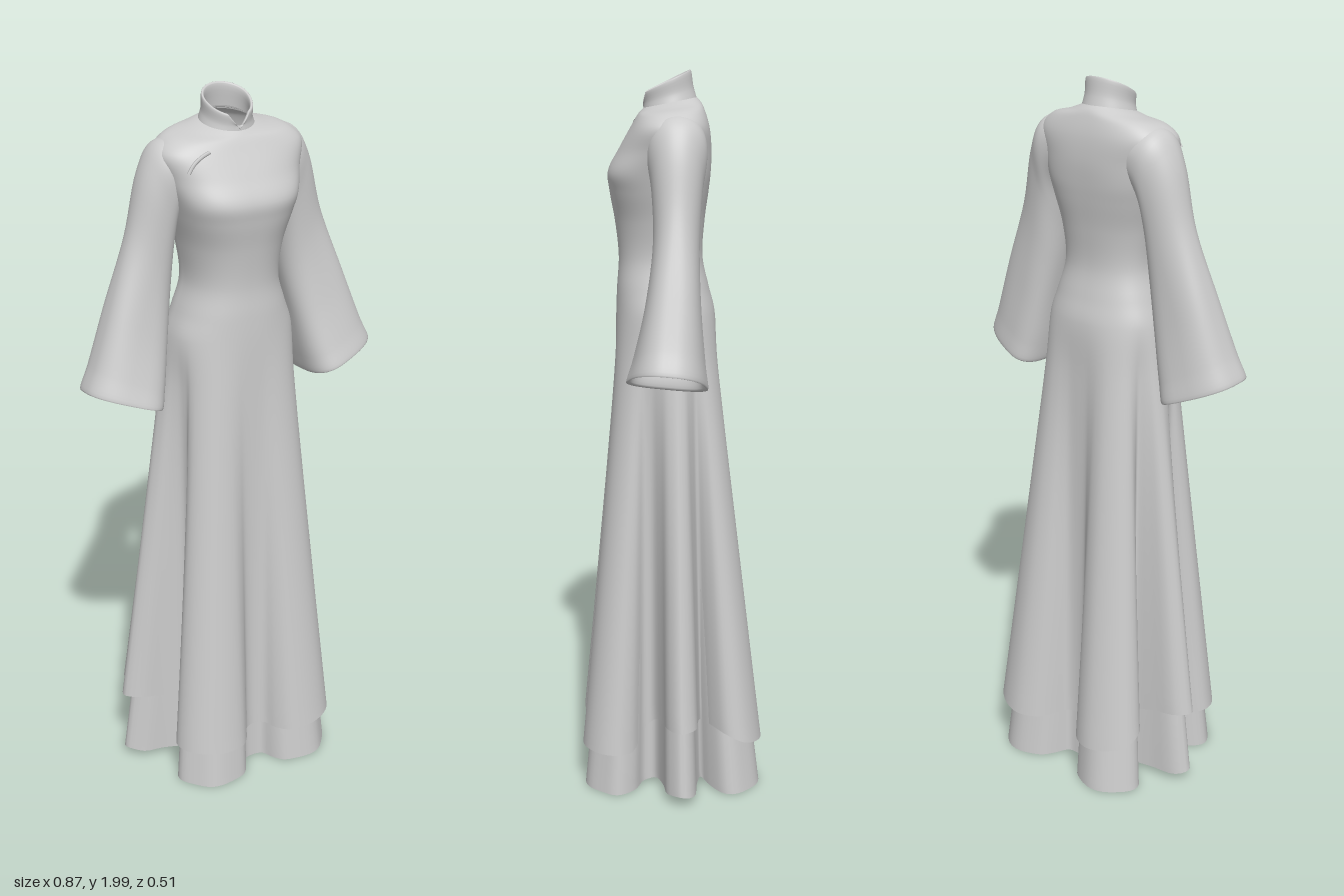
import * as THREE from 'three';

const V = (x, y, z) => new THREE.Vector3(x, y, z);
const N = 176; // points around each ring
const mat = new THREE.MeshStandardMaterial({ color: 0xcccccc, side: THREE.DoubleSide });
const lerp = THREE.MathUtils.lerp;
const power = (v, p) => Math.sign(v) * Math.abs(v) ** (2 / p);

// Skin a stack of rings (top to bottom), smoothing each column with a spline
function loft(name, rings, rows) {
  const n = rings[0].length, pos = [], idx = [];
  const cols = rings[0].map((_, i) => new THREE.CatmullRomCurve3(rings.map(r => r[i])));
  for (let r = 0; r <= rows; r++) {
    for (let i = 0; i < n; i++) pos.push(...cols[i].getPoint(r / rows).toArray());
  }
  for (let r = 0; r < rows; r++) {
    for (let i = 0; i < n; i++) {
      const j = (i + 1) % n, a = r * n, b = a + n;
      idx.push(a + i, b + i, b + j, a + i, b + j, a + j);
    }
  }
  const g = new THREE.BufferGeometry();
  g.setAttribute('position', new THREE.Float32BufferAttribute(pos, 3));
  g.setIndex(idx);
  g.computeVertexNormals();
  const m = new THREE.Mesh(g, mat);
  m.name = name;
  return m;
}

// Rounded body section with separate front and back depth, starting at the front centre
function section(y, hx, zf, zb, p = 2.3, tilt = 0) {
  return Array.from({ length: N }, (_, i) => {
    const a = i / N * Math.PI * 2, c = Math.cos(a);
    const z = Math.abs(power(c, p)) * (c > 0 ? zf : zb);
    return V(power(Math.sin(a), p) * hx, y - tilt * z, z);
  });
}

// Half a hem line mirrored into a closed wavy ring
function hemRing(half) {
  const pts = half.map(p => V(...p));
  const other = pts.slice(1, -1).reverse().map(p => V(-p.x, p.y, p.z));
  const curve = new THREE.CatmullRomCurve3([...pts, ...other], true);
  return Array.from({ length: N }, (_, i) => curve.getPoint(i / N));
}

const blend = (a, b, t) => a.map((p, i) => p.clone().lerp(b[i], t));

// Hem from front centre, around the left side, to back centre
const HEM = [
  [0, .125, .165], [.03, .125, .176], [.05, .122, .212], [.08, .122, .242], [.14, .125, .252],
  [.2, .13, .235], [.24, .13, .195], [.25, .13, .15], [.225, .13, .11], [.165, .17, .08],
  [.165, .2, .05], [.23, .22, .026], [.3, .23, .015], [.337, .23, -.02], [.31, .23, -.06],
  [.23, .22, -.072], [.165, .2, -.085], [.21, .2, -.112], [.252, .19, -.15], [.25, .165, -.2],
  [.205, .15, -.24], [.14, .142, -.256], [.08, .142, -.232], [.052, .145, -.19], [.032, .15, -.153],
  [0, .15, -.145],
];

function gown() {
  const hip = section(1.35, .178, .148, -.124);
  const hem = hemRing(HEM);
  const rings = [
    section(1.915, .069, .068, -.07, 2, .2),
    section(1.902, .11, .079, -.084, 2.1, .15),
    section(1.885, .175, .088, -.094, 2.5, .08),
    section(1.85, .208, .104, -.106, 2.7),
    section(1.79, .195, .138, -.112, 2.6),
    section(1.73, .176, .168, -.11, 2.8),
    section(1.68, .163, .164, -.105, 2.6),
    section(1.6, .143, .15, -.095),
    section(1.5, .132, .14, -.09),
    section(1.42, .155, .145, -.107),
    hip,
    ...[.12, .3, .5, .75, 1].map(t => blend(hip, hem, t)),
  ];
  return loft('gown', rings, 90);
}

function underskirt() {
  // Same folds as the gown, hanging lower and lightly rippled along the edge
  const hem = hemRing(HEM.map(([x, y, z]) => {
    const side = Math.exp(-(((z + .02) / .07) ** 2));
    return [x * (.985 + .015 * side), .008 + .032 * side, z * .985];
  }));
  hem.forEach((p, i) => {
    const k = 1 - .012 * (1 - Math.cos(i / N * Math.PI * 2 * 22));
    p.x *= k;
    p.z *= k;
    p.y = Math.max(0, p.y);
  });
  const top = section(1.25, .165, .135, -.112);
  return loft('underskirt', [.45, .65, .85, 1].map(t => blend(top, hem, t)), 24);
}

// Standing collar, high at the back, with a V notch at the front
function collar() {
  const notch = ring => ring.map(p => {
    if (p.z > 0) p.y -= .035 * Math.max(0, 1 - Math.abs(p.x) / .03);
    return p;
  });
  return loft('collar', [
    section(1.91, .074, .071, -.073, 2, .2),
    section(1.935, .067, .07, -.064, 2, .32),
    notch(section(1.972, .066, .072, -.056, 2, .48)),
    notch(section(1.97, .06, .066, -.051, 2, .48)),
    section(1.92, .06, .06, -.056, 2, .3),
  ], 20);
}

// Each row: outer x, y, inner x, y, half depth, centre z, tilt, narrowing towards the outer edge
const SLEEVE = [
  [.13, 1.888, .12, 1.74, .078, -.012, 0, 0],
  [.2, 1.874, .15, 1.69, .079, -.014, 0, 0],
  [.243, 1.81, .162, 1.61, .068, -.013, 0, 0],
  [.29, 1.64, .175, 1.48, .061, -.01, 0, .1],
  [.355, 1.46, .2, 1.34, .073, 0, 0, .25],
  [.41, 1.31, .222, 1.22, .092, .011, .06, .4],
  [.437, 1.245, .236, 1.172, .1, .016, .1, .5],
  [.425, 1.25, .243, 1.18, .092, .016, .1, .5],
  [.385, 1.34, .228, 1.26, .078, .01, 0, .4],
];

function sleeve(side) {
  const rings = SLEEVE.map(([ox, oy, ix, iy, h, zc, tilt, narrow], row) => Array.from({ length: 56 }, (_, i) => {
    const a = -side * i / 56 * Math.PI * 2, p = row > 3 ? 2.8 : 2.2;
    const t = .5 + .5 * power(Math.cos(a), p);
    const dz = h * power(Math.sin(a), p) * (1 + narrow * (.5 - t));
    return V(side * lerp(ix, ox, t), lerp(iy, oy, t) + tilt * dz, zc + dz);
  }));
  return loft(side > 0 ? 'leftSleeve' : 'rightSleeve', rings, 48);
}

// Short piped fastening on the right of the chest
function frontPiping() {
  const path = new THREE.CatmullRomCurve3([
    V(-.1, 1.861, .092), V(-.125, 1.851, .094), V(-.148, 1.835, .096), V(-.163, 1.815, .098),
  ]);
  const m = new THREE.Mesh(new THREE.TubeGeometry(path, 16, .005, 6), mat);
  m.name = 'frontPiping';
  return m;
}

export function createModel() {
  const model = new THREE.Group();
  model.name = 'dress';
  model.add(gown(), underskirt(), collar(), sleeve(1), sleeve(-1), frontPiping());
  return model;
}
